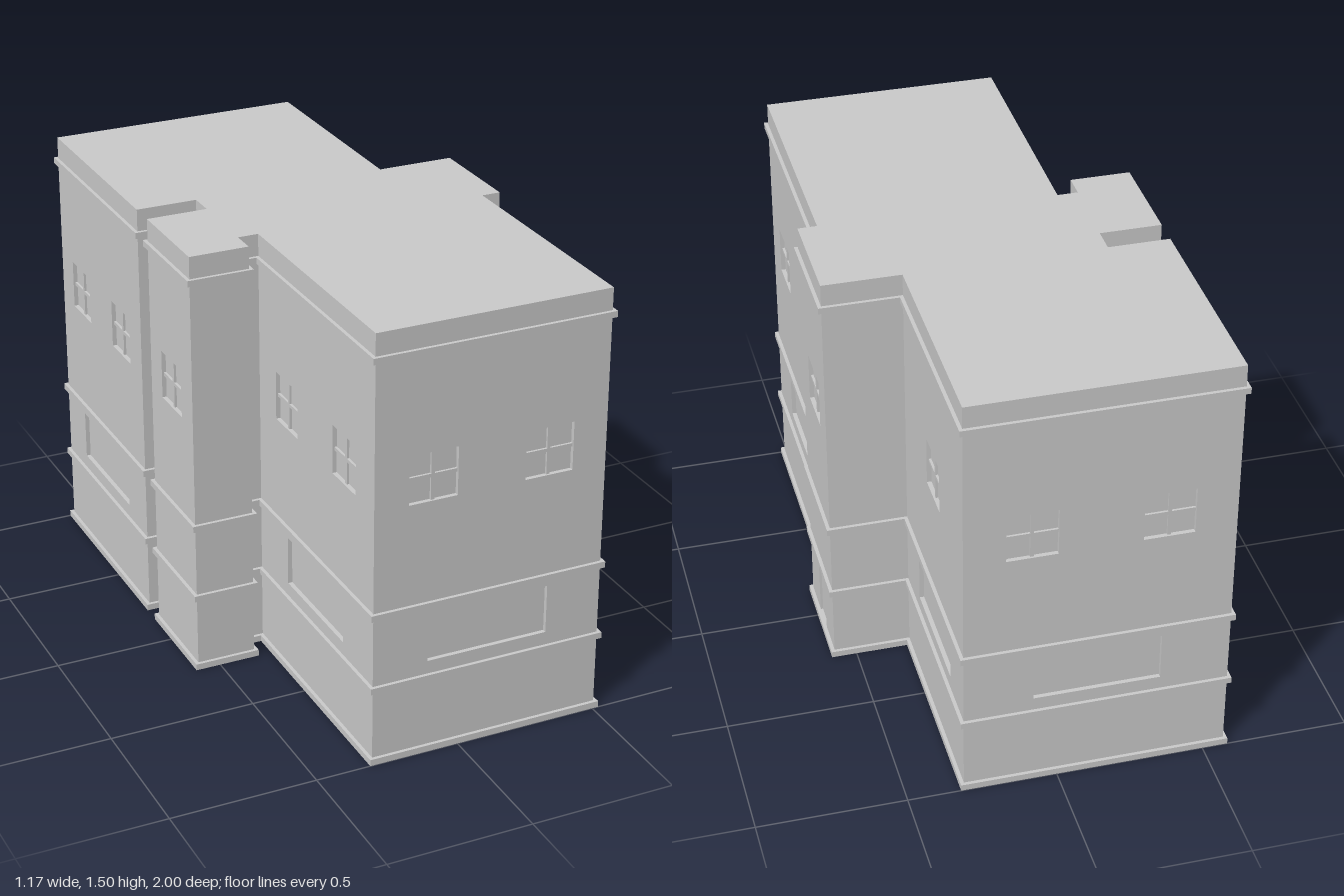
import * as THREE from 'three';

const DEPTH = 0.015;    // recess of windows and panels
const WALL_TOP = 1.41;
const HEIGHT = 1.5;
const LEDGE = 0.012;    // overhang of the ledges

// Footprint corners [x, z], counter-clockwise seen from above, starting at the front left.
// Each wall runs from its corner to the next: windows, panel below, door.
const PLAN = [
  { p: [-0.30, 0.988], windows: 2, panel: true },
  { p: [0.51, 0.988], windows: 2, panel: true },
  { p: [0.51, 0.135] },
  { p: [0.575, 0.135], windows: 1, door: true },
  { p: [0.575, -0.226] },
  { p: [0.31, -0.226], windows: 1, panel: true },
  { p: [0.31, -0.988], windows: 2, panel: true },
  { p: [-0.575, -0.988], windows: 2, panel: true },
  { p: [-0.575, -0.23] },
  { p: [-0.365, -0.23] },
  { p: [-0.365, -0.14] },
  { p: [-0.575, -0.14], windows: 1 },
  { p: [-0.575, 0.215] },
  { p: [-0.37, 0.215] },
  { p: [-0.37, 0.13] },
  { p: [-0.30, 0.13], windows: 2, panel: true },
];

const material = new THREE.MeshStandardMaterial({ color: 0xcccccc, flatShading: true });

function mesh(name, geometry, parent) {
  const m = new THREE.Mesh(geometry, material);
  m.name = name;
  parent.add(m);
  return m;
}

// Footprint in plan (y = -z), moved outwards by an amount; all corners are square
function outline(amount) {
  const pts = PLAN.map(({ p }) => new THREE.Vector2(p[0], -p[1]));
  const normals = pts.map((a, i) => {
    const d = pts[(i + 1) % pts.length].clone().sub(a).normalize();
    return new THREE.Vector2(d.y, -d.x);
  });
  return pts.map((a, i) => a.clone()
    .addScaledVector(normals[i], amount)
    .addScaledVector(normals[(i + pts.length - 1) % pts.length], amount));
}

// Upright prism over the footprint
function prism(name, amount, y0, y1, parent) {
  const g = new THREE.ExtrudeGeometry(new THREE.Shape(outline(amount)), { depth: y1 - y0, bevelEnabled: false });
  g.rotateX(-Math.PI / 2).translate(0, y0, 0);
  return mesh(name, g, parent);
}

function rectangle(path, x0, y0, x1, y1) {
  path.moveTo(x0, y0);
  path.lineTo(x1, y0);
  path.lineTo(x1, y1);
  path.lineTo(x0, y1);
  path.closePath();
  return path;
}

function box(name, w, h, d, x, y, z, parent) {
  mesh(name, new THREE.BoxGeometry(w, h, d), parent).position.set(x, y, z);
}

// Wall slab with openings, lying on the core; its outer face is at local z = 0
function wall(from, to, spec, parent) {
  const dir = to.clone().sub(from);
  const length = dir.length();
  const group = new THREE.Group();
  group.name = 'wall';
  group.position.set(from.x, 0, -from.y);
  group.rotation.y = Math.atan2(dir.y, dir.x);
  parent.add(group);

  const shape = rectangle(new THREE.Shape(), 0, 0, length, WALL_TOP);
  const opening = (cx, w, y0, y1) =>
    shape.holes.push(rectangle(new THREE.Path(), cx - w / 2, y0, cx + w / 2, y1));

  // Windows with crossed glazing bars, evenly spaced
  const n = spec.windows || 0;
  for (let i = 0; i < n; i++) {
    const cx = length * (i + 0.5) / n;
    opening(cx, 0.168, 0.9, 1.068);
    box('windowBarUpright', 0.012, 0.168, 0.008, cx, 0.984, -DEPTH + 0.004, group);
    box('windowBarCross', 0.168, 0.012, 0.008, cx, 0.984, -DEPTH + 0.004, group);
  }
  // Long sunken panel of the middle storey
  if (spec.panel) opening(length / 2, 0.425, 0.33, 0.5);
  // Door leaf set slightly back
  if (spec.door) {
    opening(length / 2, 0.1, 0.022, 0.235);
    box('door', 0.1, 0.213, 0.007, length / 2, 0.1285, -DEPTH + 0.0035, group);
  }

  const g = new THREE.ExtrudeGeometry(shape, { depth: DEPTH, bevelEnabled: false });
  g.translate(0, 0, -DEPTH);
  mesh('wallFace', g, group);
}

export function createModel() {
  const building = new THREE.Group();
  building.name = 'building';

  // Solid core forms the backs of the recesses
  prism('core', -DEPTH, 0.01, WALL_TOP, building);

  const corners = outline(0);
  corners.forEach((a, i) => wall(a, corners[(i + 1) % corners.length], PLAN[i], building));

  // Ledges around each storey, and the roof
  prism('baseLedge', LEDGE, 0, 0.022, building);
  prism('lowerLedge', LEDGE, 0.263, 0.284, building);
  prism('middleLedge', LEDGE, 0.525, 0.547, building);
  prism('upperLedge', LEDGE, 1.403, 1.424, building);
  prism('roof', 0, 1.41, HEIGHT, building);

  return building;
}
